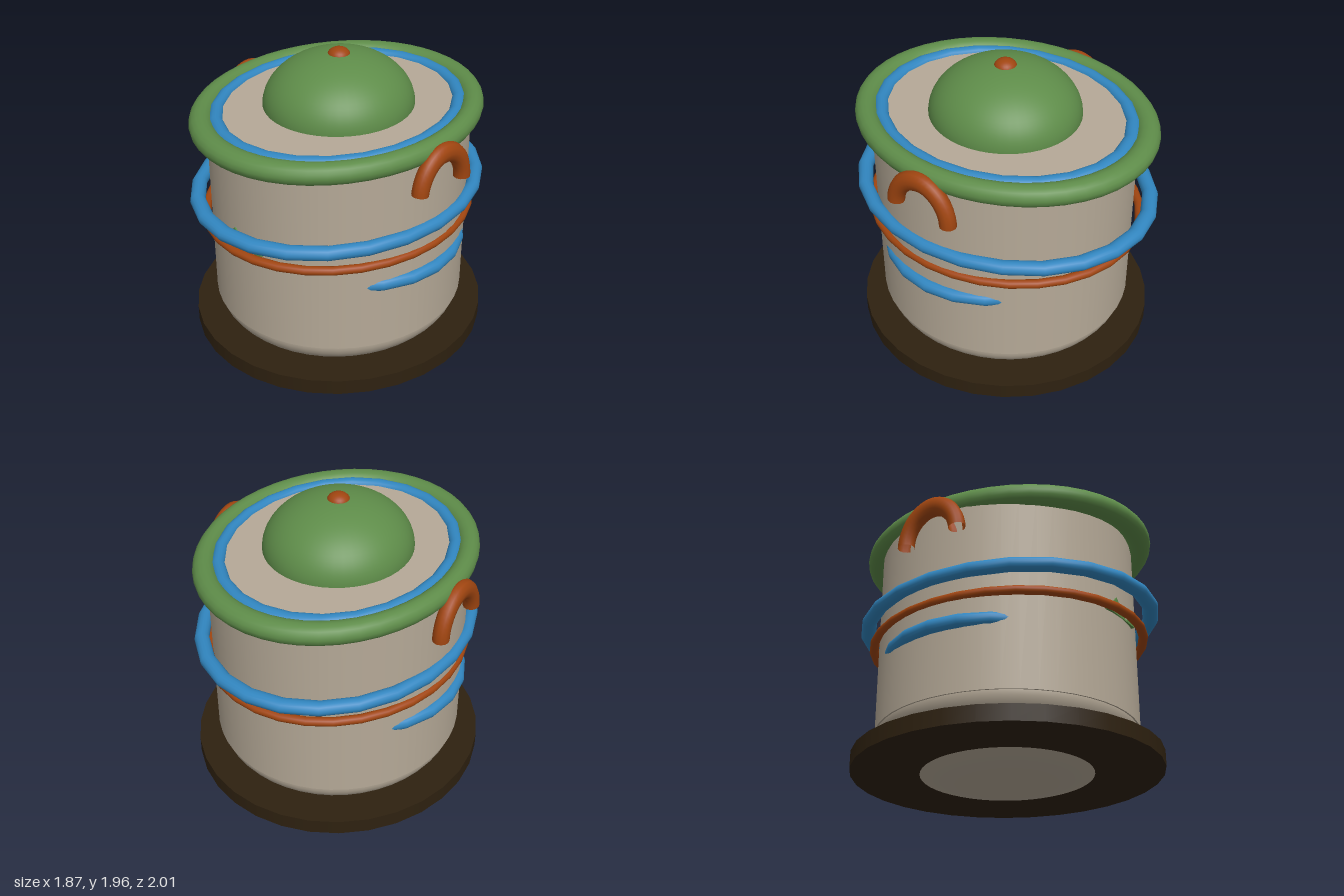
import * as THREE from 'three';

const mat = (name, color, side = THREE.FrontSide) =>
  Object.assign(new THREE.MeshStandardMaterial({ color, side }), { name });

export function createModel() {
  const stone = mat('warm grey', 0xb5a997);
  const green = mat('leaf green', 0x5e8c49);
  const blue = mat('blue', 0x3186c0);
  const rust = mat('rust', 0xa04510, THREE.DoubleSide);
  const wood = mat('dark brown', 0x2e2110);

  const model = new THREE.Group();
  model.name = 'lidded pot';

  const add = (name, geometry, material, x = 0, y = 0, z = 0) => {
    const mesh = new THREE.Mesh(geometry, material);
    mesh.name = name;
    mesh.position.set(x, y, z);
    model.add(mesh);
    return mesh;
  };

  // Horizontal oval ring: radius, tube and stretch along z
  const ring = (name, material, y, radius, tube, stretch, segments) =>
    add(name, new THREE.TorusGeometry(radius, tube, 16, segments)
      .rotateX(Math.PI / 2).scale(1, 1, stretch), material, 0, y);

  // Pot: slightly oval drum with a shallow bowl underneath
  add('body', new THREE.CylinderGeometry(0.8, 0.8, 1.28, 48).scale(1, 1, 0.825 / 0.8),
    stone, 0, 0.96);
  add('bowl', new THREE.SphereGeometry(1, 48, 16, 0, Math.PI * 2, Math.PI / 2, Math.PI / 2)
    .scale(0.79, 0.32, 0.815), stone, 0, 0.32);

  // Stand the bowl sinks through
  add('basePlate', new THREE.CylinderGeometry(0.937, 0.937, 0.1, 32).scale(1, 1, 1.03),
    wood, 0, 0.13);

  // Rim and decorative bands
  ring('rim', green, 1.57, 0.76, 0.066, 1.18, 48);
  ring('innerRim', blue, 1.585, 0.682, 0.04, 1.18, 24);
  ring('upperBand', blue, 1.073, 0.807, 0.043, 1.18, 24);
  ring('thinBand', rust, 0.922, 0.793, 0.027, 1.117, 32);
  ring('lowerBand', blue, 0.758, 0.807, 0.043, 0.877, 24);

  // Lid dome and knob
  add('lid', new THREE.SphereGeometry(1, 48, 20, 0, Math.PI * 2, 0, Math.PI / 2)
    .scale(0.46, 0.325, 0.475), green, 0, 1.597);
  add('knob', new THREE.SphereGeometry(0.07, 24, 16).scale(1, 0.72, 1), rust, 0, 1.905);

  // Arched side handles
  for (const [name, x] of [['leftHandle', 0.825], ['rightHandle', -0.825]]) {
    add(name, new THREE.TorusGeometry(0.19, 0.053, 12, 24, 3.03)
      .rotateY(Math.PI / 2).scale(0.95, 1.18, 1), rust, x, 1.33);
  }

  // Pointed leaves behind the thin band at the front
  const leaves = [
    [[-0.17, 0.92], [0.05, 0.92], [-0.06, 1.035]],
    [[0.05, 0.92], [0.16, 0.92], [0.16, 1.03]],
  ];
  leaves.forEach((points, i) => {
    const shape = new THREE.Shape(points.map(([x, y]) => new THREE.Vector2(x, y)));
    add(`leaf${i + 1}`, new THREE.ExtrudeGeometry(shape, { depth: 0.03, bevelEnabled: false }),
      green, 0, 0, 0.8);
  });

  return model;
}
